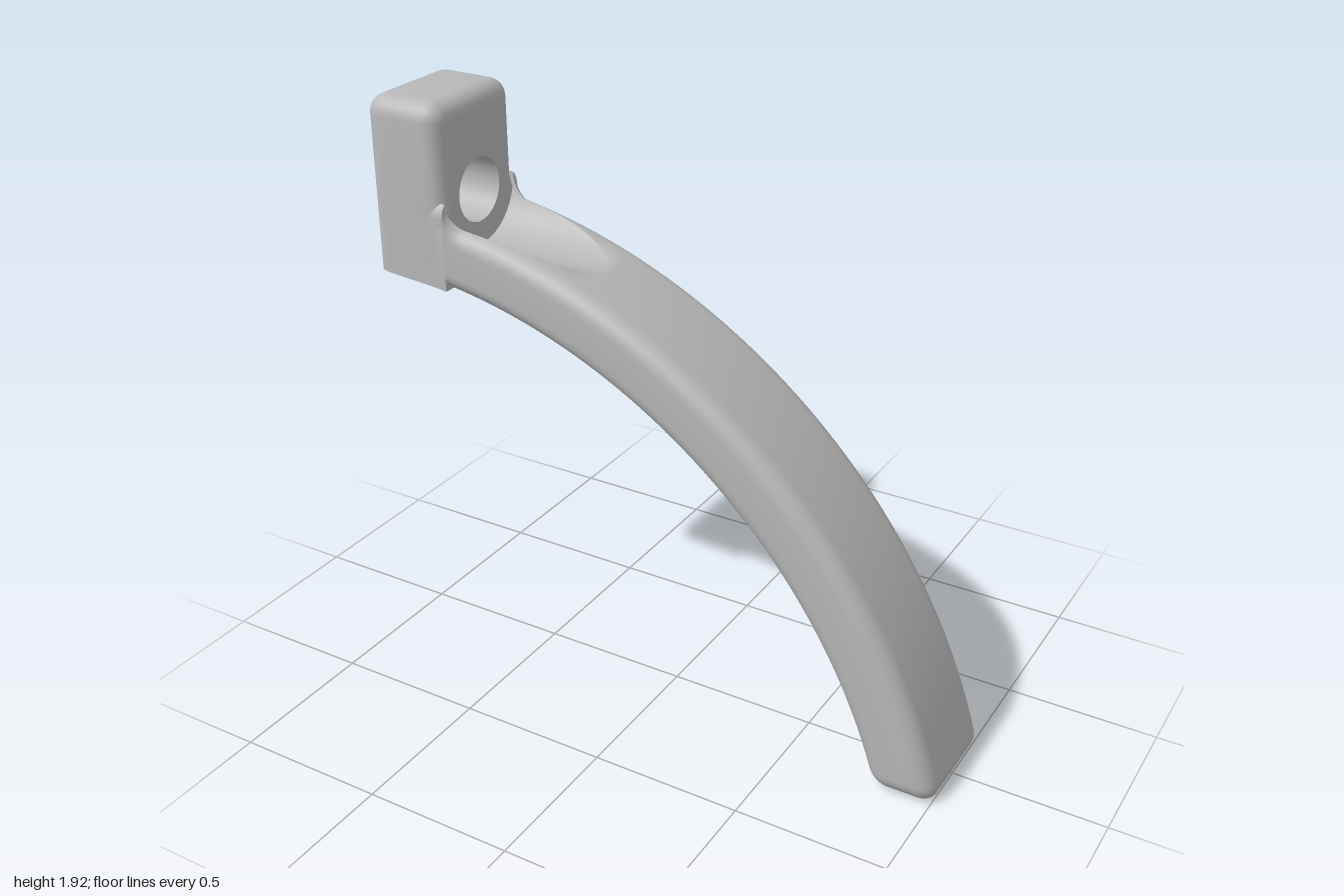
import * as THREE from 'three';
import { mergeGeometries, toCreasedNormals } from 'three/addons/utils/BufferGeometryUtils.js';

const CX = -1, CY = -0.52, R_IN = 1.874, R_OUT = 2.088; // arcs of the arm
const BEV = 0.06, HALF = 0.2, CORE = HALF - BEV;        // rounded edges and width
const BACK = -1, FRONT = -0.72, TOP = 1.925;            // block extents
const HOLE_Y = 1.61, HOLE_R = 0.105, GROOVE_R = 0.18;
const FIL_X = -0.62, FIL_Y = 1.63, FIL_R = 0.1;         // concave fillet at the block

const arcY = (x, r) => CY + Math.sqrt(r * r - (x - CX) ** 2);
const arcX = (y, r) => CX + Math.sqrt(r * r - (y - CY) ** 2);

// Skin a list of closed loops; optionally cap the last one
function loft(rows, cap = false) {
  const n = rows[0].length, pos = rows.flat(2), idx = [];
  for (let i = 0; i < rows.length - 1; i++) {
    for (let j = 0; j < n; j++) {
      const a = i * n + j, b = i * n + (j + 1) % n;
      idx.push(a, b, b + n, a, b + n, a + n);
    }
  }
  if (cap) {
    const last = rows[rows.length - 1], c = [0, 1, 2].map(k => last.reduce((s, p) => s + p[k], 0) / n);
    const base = (rows.length - 1) * n;
    pos.push(...c);
    for (let j = 0; j < n; j++) idx.push(rows.length * n, base + j, base + (j + 1) % n);
  }
  const g = new THREE.BufferGeometry();
  g.setAttribute('position', new THREE.Float32BufferAttribute(pos, 3));
  g.setIndex(idx);
  return finish(g);
}

function finish(g) {
  const flat = g.index ? g.toNonIndexed() : g;
  flat.deleteAttribute('uv');
  flat.computeVertexNormals();
  return toCreasedNormals(flat, 0.6);
}

// Rounded cross-section of the arm between an inner and an outer point, with the bolt groove cut in
function armSection(pin, pout, inset = 0) {
  const dx = pout[0] - pin[0], dy = pout[1] - pin[1], L = Math.hypot(dx, dy);
  const ex = dx / L, ey = dy / L, r = Math.max(BEV - inset, 0.002), top = L - inset;
  const roof = z => z <= CORE ? top : top - r + Math.sqrt(Math.max(0, r * r - (z - CORE) ** 2));
  const floor = z => ey < 0.5 ? Infinity
    : (HOLE_Y - Math.sqrt(Math.max(0, GROOVE_R ** 2 - z * z)) - pin[1]) / ey;

  // half width at which the groove meets the top surface
  let lo = 0, hi = GROOVE_R;
  for (let k = 0; k < 30; k++) {
    const m = (lo + hi) / 2;
    if (floor(m) < roof(m)) lo = m; else hi = m;
  }
  const w = Math.max(lo, 0.02);
  const thMax = w > CORE ? Math.acos(Math.min(1, (w - CORE) / r)) : Math.PI / 2;

  const right = [], groove = [], low = [], M = 8, G = 24;
  for (let k = 0; k <= M; k++) {
    const t = thMax * (1 - k / M), b = Math.PI / 2 * k / M;
    right.push([CORE + r * Math.cos(t), top - r + r * Math.sin(t)]);
    low.push([CORE + r * Math.cos(b), inset + r - r * Math.sin(b)]);
  }
  for (let k = 0; k <= G; k++) {
    const z = w * Math.sin(Math.PI * (k / G - 0.5));
    groove.push([z, Math.min(roof(Math.abs(z)), floor(Math.abs(z)))]);
  }
  const mirror = list => list.map(([z, v]) => [-z, v]).reverse();
  return [...mirror(right), ...groove, ...right, ...low, ...mirror(low)]
    .map(([z, v]) => [pin[0] + ex * v, pin[1] + ey * v, z]);
}

function armGeometry() {
  const rows = [];
  // root buried in the block
  for (const x of [-0.78, -0.75, -0.722]) rows.push(armSection([x, arcY(x, R_IN) + 0.004], [x, FIL_Y]));

  // curved sweep
  const start = r => Math.asin((FRONT - CX) / r), end = r => Math.acos((BEV - CY) / r);
  const N = 90;
  for (let i = 0; i <= N; i++) {
    const t = (i / N) ** 1.5;
    const at = r => {
      const a = start(r) + (end(r) - start(r)) * t;
      return [CX + r * Math.sin(a), CY + r * Math.cos(a)];
    };
    const pout = at(R_OUT);
    if (pout[0] < FIL_X) {
      const fy = FIL_Y - Math.sqrt(Math.max(0, FIL_R ** 2 - (pout[0] - FIL_X) ** 2));
      pout[1] = Math.max(pout[1], fy);
    }
    rows.push(armSection(at(R_IN), pout));
  }

  // rounded foot
  for (let k = 1; k <= 8; k++) {
    const a = Math.PI / 2 * k / 8, y = BEV * (1 - Math.sin(a));
    rows.push(armSection([arcX(y, R_IN), y], [arcX(y, R_OUT), y], BEV * (1 - Math.cos(a))));
  }
  return loft(rows, true);
}

// Block outline at one x: rounded above, curved underside below
function blockLoop(x, inset, squareFoot) {
  const r = Math.max(BEV - inset, 0.001), half = CORE + r, foot = squareFoot ? HALF : half;
  const right = [];
  for (let k = 0; k <= 8; k++) {
    const a = Math.PI / 2 * (1 - k / 8);
    right.push([x, TOP - BEV + r * Math.sin(a), CORE + r * Math.cos(a)]);
  }
  right.push([x, 1.6, half], [x, 1.54, foot], [x, arcY(x, R_IN), foot]);
  return [...right, ...right.map(([a, b, c]) => [a, b, -c]).reverse()];
}

function blockGeometry() {
  const rows = [], M = 8;
  for (let k = 0; k <= M; k++) {
    const a = Math.PI / 2 * (1 - k / M);
    rows.push(blockLoop(BACK + BEV * (1 - Math.sin(a)), BEV * (1 - Math.cos(a)), false));
  }
  for (let k = 0; k <= M; k++) {
    const a = Math.PI / 2 * k / M;
    rows.push(blockLoop(FRONT - BEV * (1 - Math.sin(a)), BEV * (1 - Math.cos(a)), true));
  }

  // flat end faces, each pierced by the bolt hole
  const face = (loop, side) => {
    const shape = new THREE.Shape(loop.map(p => new THREE.Vector2(-side * p[2], p[1])));
    shape.holes.push(new THREE.Path().absarc(0, HOLE_Y, HOLE_R, 0, Math.PI * 2, true));
    const g = new THREE.ShapeGeometry(shape, 24);
    g.rotateY(side * Math.PI / 2).translate(loop[0][0], 0, 0);
    return finish(g);
  };

  // inward-facing bore
  const bore = [BACK, FRONT].map(x => Array.from({ length: 48 }, (_, j) => {
    const a = -j / 48 * Math.PI * 2;
    return [x, HOLE_Y + HOLE_R * Math.cos(a), HOLE_R * Math.sin(a)];
  }));
  return mergeGeometries([loft(rows), face(rows[0], -1), face(rows[rows.length - 1], 1), loft(bore)]);
}

export function createModel() {
  const grey = new THREE.MeshStandardMaterial({ color: 0xb8b8b8, side: THREE.DoubleSide });
  grey.name = 'grey';
  const group = new THREE.Group();
  group.name = 'curvedBracket';
  const parts = { mountingBlock: blockGeometry(), curvedArm: armGeometry() };
  for (const [name, geometry] of Object.entries(parts)) {
    const mesh = new THREE.Mesh(geometry, grey);
    mesh.name = name;
    group.add(mesh);
  }
  return group;
}
